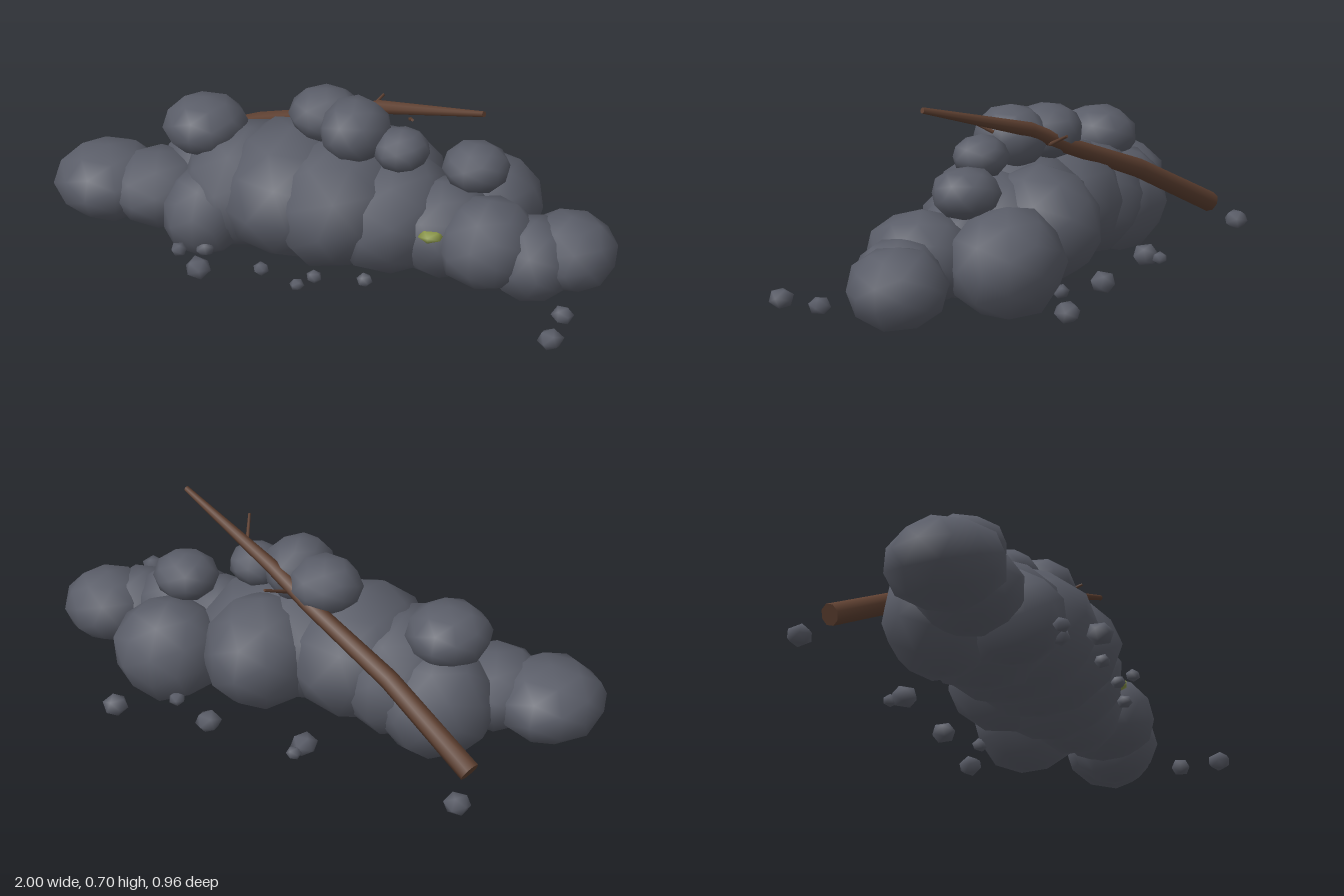
import * as THREE from 'three';
import { mergeVertices } from 'three/addons/utils/BufferGeometryUtils.js';

// small seeded generator for the uneven stone surfaces
function seeded(seed) {
  let s = seed * 7919 + 13;
  return () => (s = (s * 16807) % 2147483647) / 2147483647;
}

// smooth, low-poly stone of unit radius
function stoneGeometry(detail, seed, rough) {
  const base = new THREE.IcosahedronGeometry(1, detail);
  base.deleteAttribute('normal');
  base.deleteAttribute('uv');
  const geo = mergeVertices(base, 1e-4);
  const rand = seeded(seed);
  for (let i = 0; i < 5; i++) rand();
  const p = geo.attributes.position;
  for (let i = 0; i < p.count; i++) {
    const k = 1.02 + (rand() - 0.5) * rough;
    p.setXYZ(i, p.getX(i) * k, p.getY(i) * k, p.getZ(i) * k);
  }
  geo.computeVertexNormals();
  return geo;
}

export function createModel() {
  const model = new THREE.Group();
  model.name = 'rockPile';
  const stone = new THREE.MeshStandardMaterial({ name: 'slate stone', color: 0x5a5d68 });
  const bark = new THREE.MeshStandardMaterial({ name: 'brown bark', color: 0x5e4031 });
  const moss = new THREE.MeshStandardMaterial({ name: 'olive moss', color: 0x8a9648 });

  function add(name, geo, mat, parent = model) {
    const mesh = new THREE.Mesh(geo, mat);
    mesh.name = name;
    parent.add(mesh);
    return mesh;
  }
  function group(name) {
    const g = new THREE.Group();
    g.name = name;
    model.add(g);
    return g;
  }
  function boulders(parent, name, list) {
    list.forEach(([x, y, z, rx, ry, rz], i) => {
      const geo = stoneGeometry(1, i + 1, 0.07).rotateY(i * 0.9);
      geo.scale(rx, ry, rz);
      geo.computeVertexNormals();
      add(name, geo, stone, parent).position.set(x, y, z);
    });
  }

  // long ridge of base boulders: x, y, z, then radii
  boulders(group('baseBoulders'), 'baseBoulder', [
    [-0.81, 0.205, 0.12, 0.19, 0.135, 0.19],
    [-0.62, 0.205, 0.11, 0.18, 0.135, 0.18],
    [-0.46, 0.205, -0.05, 0.215, 0.195, 0.195],
    [-0.41, 0.185, 0.17, 0.155, 0.155, 0.18],
    [-0.31, 0.24, 0.03, 0.23, 0.215, 0.26],
    [-0.14, 0.265, 0.05, 0.25, 0.23, 0.285],
    [0.04, 0.265, 0.07, 0.24, 0.22, 0.28],
    [0.16, 0.26, -0.10, 0.20, 0.20, 0.22],
    [0.22, 0.24, 0.04, 0.22, 0.205, 0.25],
    [0.40, 0.22, 0.05, 0.20, 0.17, 0.18],
    [0.49, 0.22, -0.17, 0.20, 0.18, 0.19],
    [0.58, 0.225, 0.10, 0.17, 0.15, 0.185],
    [0.73, 0.18, 0.08, 0.15, 0.145, 0.15],
    [0.84, 0.20, 0.02, 0.16, 0.13, 0.16],
  ]);

  // stones resting on top of the ridge
  boulders(group('topBoulders'), 'topBoulder', [
    [-0.475, 0.435, 0.02, 0.145, 0.105, 0.145],
    [-0.04, 0.535, -0.02, 0.13, 0.095, 0.12],
    [0.09, 0.53, 0.05, 0.12, 0.11, 0.13],
    [0.26, 0.495, 0.065, 0.095, 0.072, 0.095],
    [0.495, 0.433, -0.02, 0.112, 0.084, 0.11],
  ]);

  // loose pebbles scattered around: x, z, radius
  const pebbles = group('pebbles');
  [
    [-0.70, -0.44, 0.045], [-0.12, -0.36, 0.047], [-0.11, -0.42, 0.027],
    [0.23, -0.38, 0.046], [0.565, -0.43, 0.045], [0.89, 0.28, 0.037],
    [0.89, 0.43, 0.043], [0.22, 0.31, 0.028], [0.02, 0.415, 0.025],
    [-0.13, 0.365, 0.028], [-0.44, 0.35, 0.03], [-0.33, 0.435, 0.046],
    [-0.36, 0.31, 0.035], [0.055, 0.35, 0.026], [0.39, -0.31, 0.03],
  ].forEach(([x, z, r], i) => {
    const geo = stoneGeometry(0, i + 30, 0.1).rotateX(0.55).rotateY(i);
    geo.scale(r, r * 0.8, r);
    geo.computeVertexNormals();
    add('pebble', geo, stone, pebbles).position.set(x, 0.118, z);
  });

  // tapered limb: rings swept along straight pieces between points
  function limb(name, points, radii, sides) {
    const pts = points.map((p) => new THREE.Vector3(...p));
    const pos = [], index = [];
    const up = new THREE.Vector3(0, 1, 0);
    pts.forEach((p, i) => {
      const dir = pts[Math.min(i + 1, pts.length - 1)].clone()
        .sub(pts[Math.max(i - 1, 0)]).normalize();
      const u = new THREE.Vector3().crossVectors(up, dir).normalize();
      const v = new THREE.Vector3().crossVectors(dir, u);
      for (let s = 0; s < sides; s++) {
        const a = (s / sides) * Math.PI * 2;
        const q = p.clone().addScaledVector(u, Math.cos(a) * radii[i])
          .addScaledVector(v, Math.sin(a) * radii[i]);
        pos.push(q.x, q.y, q.z);
        if (i === pts.length - 1) continue;
        const n = i * sides + s, m = i * sides + ((s + 1) % sides);
        index.push(n, m, n + sides, m, m + sides, n + sides);
      }
    });
    // end caps with their own corners, so the rims stay sharp
    const last = (pts.length - 1) * sides;
    [0, last].forEach((start) => {
      const base = pos.length / 3;
      for (let k = 0; k < sides * 3; k++) pos.push(pos[start * 3 + k]);
      for (let s = 1; s < sides - 1; s++) {
        if (start) index.push(base, base + s, base + s + 1);
        else index.push(base, base + s + 1, base + s);
      }
    });
    const geo = new THREE.BufferGeometry();
    geo.setAttribute('position', new THREE.Float32BufferAttribute(pos, 3));
    geo.setIndex(index);
    geo.computeVertexNormals();
    return add(name, geo, bark);
  }

  // fallen trunk leaning over the back of the pile, with two twigs
  limb('fallenTrunk', [
    [-0.70, 0.17, -0.335], [-0.36, 0.355, -0.21], [-0.02, 0.495, -0.105],
    [0.14, 0.575, -0.055], [0.55, 0.70, 0.105],
  ], [0.037, 0.034, 0.028, 0.025, 0.01], 8);
  limb('frontTwig', [[0.27, 0.585, 0.01], [0.315, 0.645, 0.125]], [0.007, 0.005], 5);
  limb('backTwig', [[0.07, 0.515, -0.09], [0.11, 0.56, -0.178]], [0.007, 0.005], 5);

  // small tuft of moss on the front slope
  const tuft = stoneGeometry(0, 77, 0.08).scale(0.045, 0.017, 0.04);
  tuft.computeVertexNormals();
  add('mossPatch', tuft, moss).position.set(0.415, 0.275, 0.212);

  return model;
}
